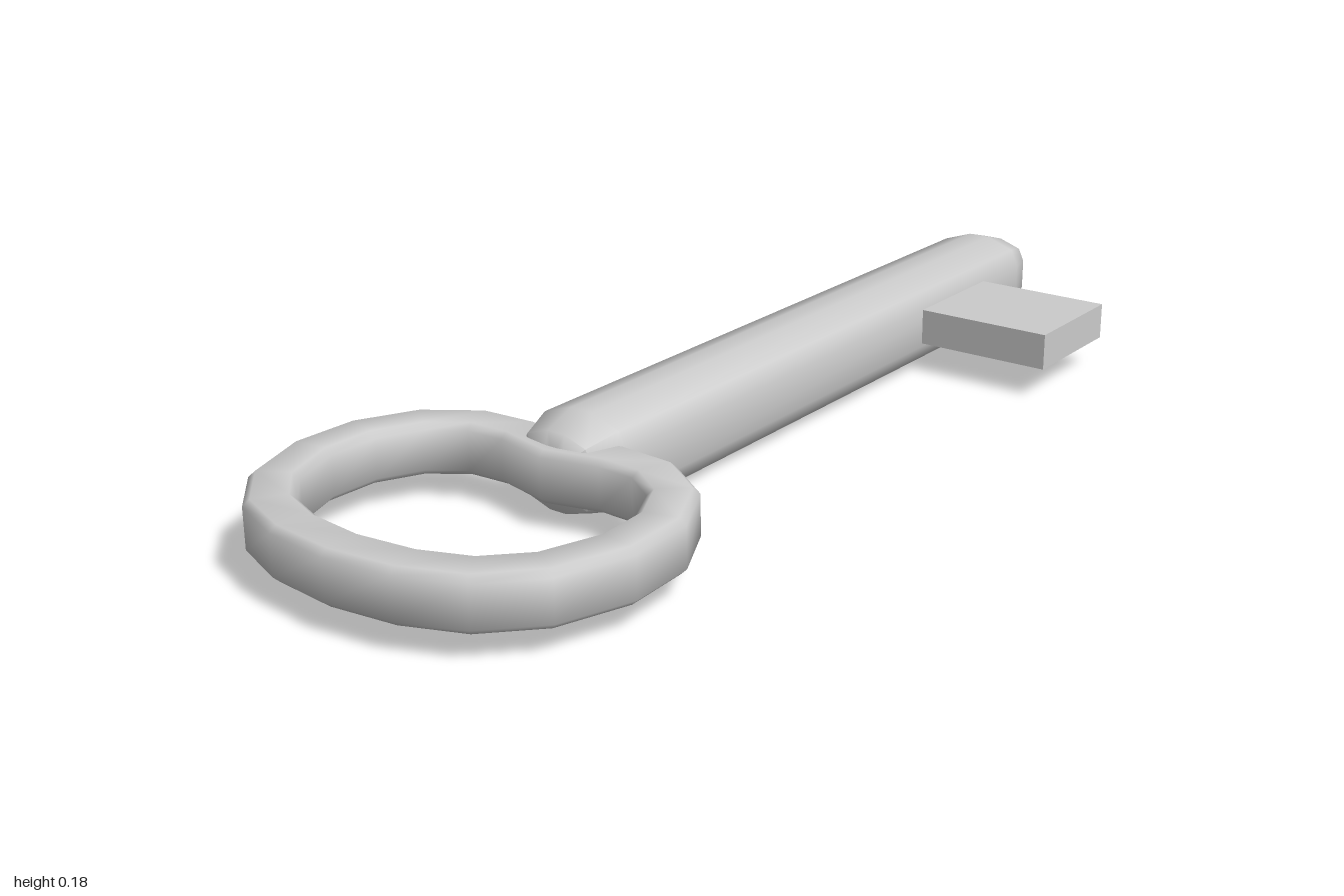
import * as THREE from 'three';
import { toCreasedNormals } from 'three/addons/utils/BufferGeometryUtils.js';

const material = new THREE.MeshStandardMaterial({ color: 0xcccccc });

// Skins a list of rings; each ring runs counter-clockwise about the travel direction.
function loft(rings, closed) {
  const n = rings[0].length, count = rings.length, index = [];
  const points = rings.flat();
  for (let i = 0; i < (closed ? count : count - 1); i++) {
    for (let j = 0; j < n; j++) {
      const k = (j + 1) % n, next = (i + 1) % count;
      const a = i * n + j, b = next * n + j, c = i * n + k, d = next * n + k;
      index.push(a, c, b, b, c, d);
    }
  }
  if (!closed) {
    // flat end caps
    const last = (count - 1) * n;
    for (let j = 1; j < n - 1; j++) {
      index.push(0, j + 1, j, last, last + j, last + j + 1);
    }
  }
  const geometry = new THREE.BufferGeometry().setFromPoints(points);
  geometry.setIndex(index);
  return toCreasedNormals(geometry, 0.95);
}

// Twelve-sided, slightly square shaft with rounded ends
function shaftGeometry() {
  const quarter = [[0.09, 0.022], [0.07, 0.08], [0.038, 0.095]];
  const flip = (list, sy, sz) => list.map(([y, z]) => [y * sy, z * sz]);
  const back = [...quarter].reverse();
  const section = [
    ...quarter, ...flip(back, -1, 1), ...flip(quarter, -1, -1), ...flip(back, 1, -1),
  ];
  const stations = [
    [-0.505, 0.38], [-0.485, 0.78], [-0.42, 1], [0.91, 1], [0.978, 0.78], [1, 0.38],
  ];
  return loft(stations.map(([x, s]) =>
    section.map(([y, z]) => new THREE.Vector3(x, 0.09 + y * s, z * s - 0.003))));
}

// Kidney-shaped loop with a chamfered band section
function bowGeometry() {
  const half = [
    [-0.945, 0.115], [-0.908, 0.21], [-0.835, 0.282], [-0.72, 0.322],
    [-0.61, 0.317], [-0.518, 0.27], [-0.464, 0.19], [-0.458, 0.1],
  ];
  const path = [
    [-0.958, 0], ...half, [-0.483, 0], ...[...half].reverse().map(([x, z]) => [x, -z]),
  ].map(([x, z]) => new THREE.Vector3(x, 0.092, z - 0.006));
  const section = [
    [0.042, -0.036], [0.042, 0.036], [0.03, 0.047], [-0.03, 0.047],
    [-0.042, 0.036], [-0.042, -0.036], [-0.03, -0.047], [0.03, -0.047],
  ];
  const up = new THREE.Vector3(0, 1, 0), n = path.length;
  return loft(path.map((p, i) => {
    const travel = path[(i + 1) % n].clone().sub(path[(i + n - 1) % n]).normalize();
    const side = up.clone().cross(travel);
    return section.map(([w, h]) =>
      p.clone().addScaledVector(side, w).addScaledVector(up, h));
  }), true);
}

export function createModel() {
  const model = new THREE.Group();
  model.name = 'key';
  const add = (name, geometry) => {
    const mesh = new THREE.Mesh(geometry, material);
    mesh.name = name;
    model.add(mesh);
    return mesh;
  };
  add('shaft', shaftGeometry());
  add('bow', bowGeometry());
  // Flat bit, its root buried in the shaft
  add('bit', new THREE.BoxGeometry(0.245, 0.07, 0.32)).position.set(0.642, 0.094, 0.203);
  return model;
}
